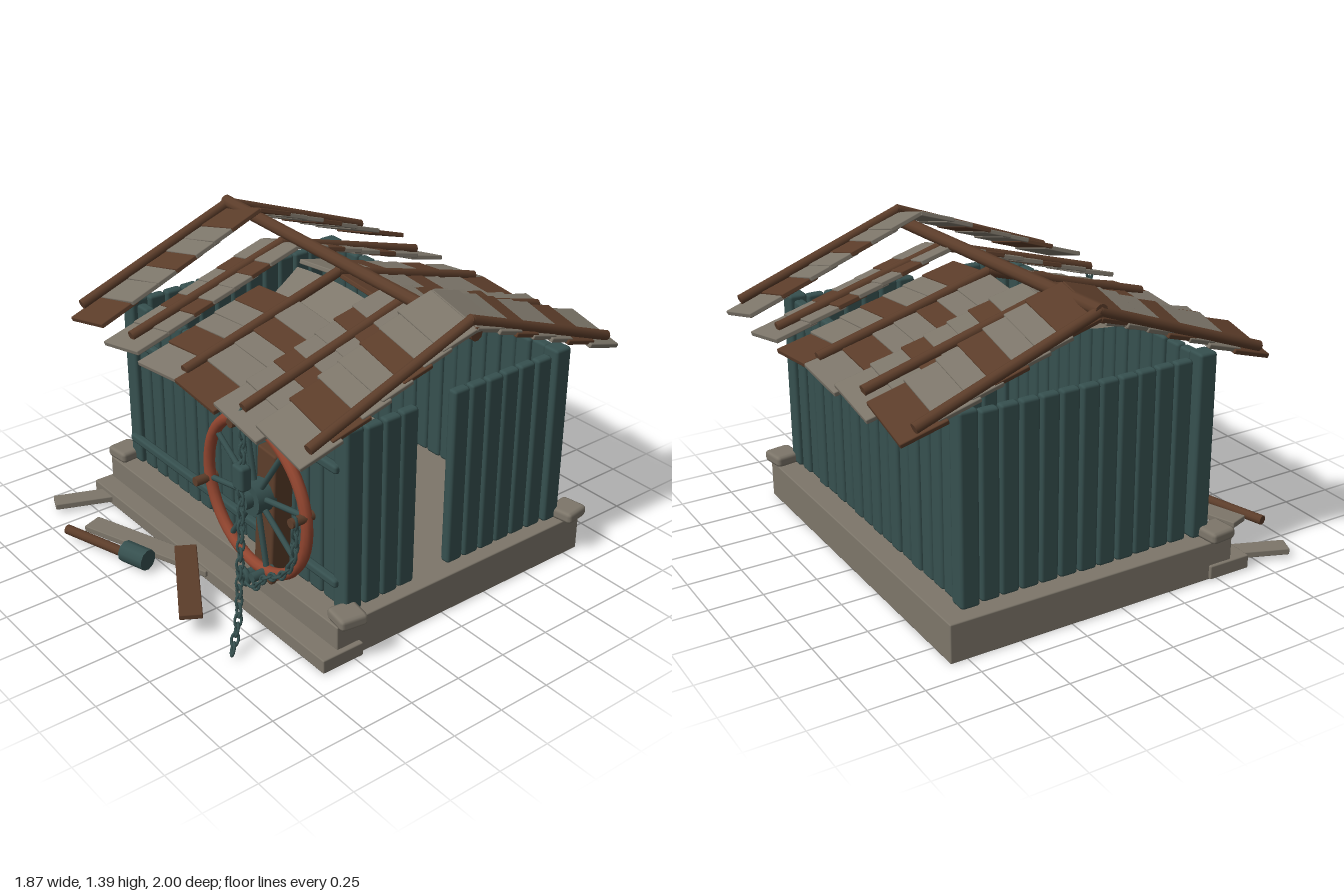
import * as THREE from 'three';
import { RoundedBoxGeometry } from 'three/addons/geometries/RoundedBoxGeometry.js';

const V = (x, y, z) => new THREE.Vector3(x, y, z);

export function createModel() {
  const model = new THREE.Group();
  const mat = (name, color) => {
    const m = new THREE.MeshStandardMaterial({ color });
    m.name = name;
    return m;
  };
  const teal = mat('paintedTeal', 0x36504f);
  const stone = mat('weatheredGrey', 0x7d766a);
  const brown = mat('darkWood', 0x5c3d2a);
  const red = mat('rustRed', 0x91452f);
  const sheet = stone.clone();
  sheet.name = 'sheetGrey';
  sheet.side = THREE.DoubleSide;

  let seed = 7;
  const rand = (a) => {
    seed = (seed * 16807) % 2147483647;
    return (seed / 2147483647 - 0.5) * 2 * a;
  };
  const group = (name, parent = model) => {
    const g = new THREE.Group();
    g.name = name;
    parent.add(g);
    return g;
  };
  const add = (name, geo, material, x, y, z, parent = model) => {
    const m = new THREE.Mesh(geo, material);
    m.name = name;
    m.position.set(x, y, z);
    parent.add(m);
    return m;
  };
  const block = (name, w, h, d, material, x, y, z, parent, r = 0.01) =>
    add(name, new RoundedBoxGeometry(w, h, d, 1, Math.min(r, w / 3, h / 3, d / 3)), material, x, y, z, parent);
  // Round bar between two points
  const bar = (name, a, b, r, material, parent, sides = 10) => {
    const m = add(name, new THREE.CylinderGeometry(r, r, a.distanceTo(b), sides), material, 0, 0, 0, parent);
    m.position.copy(a).add(b).multiplyScalar(0.5);
    m.quaternion.setFromUnitVectors(V(0, 1, 0), b.clone().sub(a).normalize());
    return m;
  };

  // Foundation, front step and corner stones
  block('foundation', 1.77, 0.18, 1.41, stone, -0.01, 0.09, -0.125, model, 0.006);
  block('frontStep', 1.81, 0.065, 0.21, stone, -0.005, 0.0375, 0.565, model, 0.006);
  for (const [x, z, turn] of [[-0.855, 0.515, 0.1], [0.86, 0.515, -0.15], [0.845, -0.78, 0.15]])
    block('cornerStone', 0.13, 0.055, 0.13, stone, x, 0.205, z, model, 0.018).rotation.y = turn;

  // Plank walls with corner posts; the right wall has a gap
  const walls = group('walls');
  for (const x of [-0.785, 0.785]) for (const z of [0.455, -0.695])
    block('cornerPost', 0.088, 0.86, 0.088, teal, x, 0.61, z, walls, 0.014);
  for (let i = 0; i < 16; i++) for (const z of [0.455, -0.7]) {
    const p = block('wallPlank', 0.087, 0.85 + rand(0.008), 0.05, teal, -0.69 + i * 0.092, 0.6, z + rand(0.004), walls, 0.014);
    p.rotation.z = rand(0.005);
  }
  for (let i = 0; i < 11; i++) for (const x of [-0.79, 0.79]) {
    if (x > 0 && (i === 3 || i === 4)) continue;
    block('sidePlank', 0.05, 0.84, 0.086, teal, x + rand(0.004), 0.6, 0.345 - i * 0.0938, walls, 0.014);
  }
  for (const y of [0.31, 0.85])
    block('frontRail', 1.58, 0.04, 0.04, teal, -0.01, y, 0.5, walls, 0.013);

  // Sagging roof: six columns of overlapping shingles on each slope
  const roof = group('roof');
  const ridgeZ = -0.125;
  const rows = [0.875, 0.715, 0.575, 0.475, 0.365, 0.265, 0.165, 0.015];
  // For each column pair, outermost first: ridge outer/inner and eave outer/inner heights
  const heights = [[1.3, 1.385, 0.965, 1.025], [1.225, 1.295, 0.955, 1.0], [1.22, 1.25, 0.965, 0.99]];
  for (let c = 0; c < 6; c++) {
    const right = c > 2;
    const [ro, ri, eo, ei] = heights[right ? 5 - c : c];
    const ridge = (ro + ri) / 2, eave = (eo + ei) / 2;
    const slope = Math.atan((ridge - eave) / 0.875);
    const roll = Math.atan((ri - ro + ei - eo) / 2 / 0.29) * (right ? -1 : 1);
    for (const side of [1, -1]) for (let r = 0; r < 7; r++) {
      if (side > 0 && (c === 2 || c === 3) && r > 4) continue;
      const far = rows[r], near = Math.max(rows[r + 1] - 0.035, 0);
      const mid = (far + near) / 2;
      const y = ridge - (ridge - eave) * mid / 0.875 + 0.008;
      const m = block('shingle', 0.292 + rand(0.004), 0.022, (far - near) / Math.cos(slope),
        (r + c) % 3 === 0 ? brown : stone, -0.725 + c * 0.29, y, ridgeZ + side * mid, roof, 0.005);
      m.rotation.set(side * (slope - 0.06), rand(0.012), roll + rand(0.012), 'ZXY');
    }
  }

  // Drooping sheet under the damaged front slope
  const droop = new THREE.PlaneGeometry(0.58, 0.46, 8, 10).rotateX(-Math.PI / 2);
  const dp = droop.attributes.position;
  for (let i = 0; i < dp.count; i++) {
    const t = dp.getZ(i) / 0.46 + 0.5, u = dp.getX(i) / 0.29;
    dp.setY(i, 1.22 - 0.19 * t - 0.05 * Math.sin(Math.PI * t) - 0.02 * u * u);
  }
  droop.computeVertexNormals();
  add('droopingSheet', droop, sheet, 0, 0, 0.12, roof);

  // Ridge pole and rafters lying over the shingles
  bar('ridgePole', V(-0.87, 1.345, ridgeZ), V(0.87, 1.29, ridgeZ), 0.03, brown, roof);
  for (const [x, peak] of [[-0.855, 1.345], [-0.43, 1.275], [-0.01, 1.27], [0.41, 1.275], [0.835, 1.345]])
    for (const s of [1, -1])
      bar('rafter', V(x, 1.035, ridgeZ + s * 0.82), V(x, peak, ridgeZ - s * 0.01), 0.023, brown, roof);

  // Wheel on its backing board
  const board = block('wheelBoard', 0.125, 0.65, 0.1, brown, 0.415, 0.495, 0.555);
  board.rotation.z = -0.07;
  const wheel = group('wheel');
  wheel.position.set(0.412, 0.608, 0.64);
  add('rim', new THREE.TorusGeometry(0.343, 0.026, 10, 48), red, 0, 0, 0, wheel);
  for (let i = 0; i < 8; i++) {
    const a = 0.19 + i * Math.PI / 4, x = Math.cos(a), y = Math.sin(a);
    bar('spoke', V(x * 0.04, y * 0.04, 0), V(x * 0.34, y * 0.34, 0), 0.013, teal, wheel, 8);
    if (i % 2 === 0)
      bar('rimPeg', V(x * 0.345, y * 0.345, -0.03), V(x * 0.345, y * 0.345, 0.08), 0.021, i === 6 ? teal : brown, wheel);
  }
  bar('hub', V(0, 0, -0.05), V(0, 0, 0.04), 0.075, teal, wheel, 16);
  bar('hubCap', V(0, 0, 0.04), V(0, 0, 0.075), 0.04, teal, wheel, 12);
  add('lowerRing', new THREE.TorusGeometry(0.034, 0.014, 8, 12), teal, 0.39, 0.225, 0.7);
  bar('lowerPin', V(0.39, 0.225, 0.62), V(0.39, 0.225, 0.72), 0.022, teal, model, 8);

  // Chains made of alternating oval links
  const link = new THREE.TorusGeometry(0.016, 0.0065, 6, 10).scale(0.95, 1.6, 1);
  const chain = (name, points) => {
    const g = group(name);
    const curve = new THREE.CatmullRomCurve3(points.map((p) => V(...p)));
    const n = Math.round(curve.getLength() / 0.04);
    for (let i = 0; i <= n; i++) {
      const m = add('link', link, teal, 0, 0, 0, g);
      m.position.copy(curve.getPointAt(i / n));
      m.quaternion.setFromUnitVectors(V(0, 1, 0), curve.getTangentAt(i / n).setY(curve.getTangentAt(i / n).y + 1e-4).normalize());
      m.rotateY(i % 2 ? Math.PI / 2 : 0.15);
    }
  };
  chain('upperChain', [[0.4, 1.0, 0.69], [0.41, 0.9, 0.7], [0.425, 0.78, 0.715]]);
  block('chainWeight', 0.075, 0.115, 0.055, teal, 0.425, 0.735, 0.72, model, 0.015);
  chain('hangingChain', [[0.43, 0.68, 0.73], [0.46, 0.5, 0.755], [0.49, 0.3, 0.79], [0.53, 0.13, 0.83], [0.575, 0.04, 0.89]]);
  chain('rimChain', [[0.755, 0.67, 0.7], [0.745, 0.5, 0.7], [0.67, 0.38, 0.7], [0.55, 0.3, 0.7], [0.47, 0.215, 0.7], [0.4, 0.22, 0.7]]);

  // Loose boards and mallet in front
  block('looseBrownBoard', 0.535, 0.025, 0.1, brown, 0.125, 0.1, 0.81, model, 0.005).rotation.y = -0.54;
  block('looseGreyBoard', 0.7, 0.03, 0.1, stone, -0.28, 0.045, 0.75, model, 0.005).rotation.y = 0.34;
  block('shortGreyBoard', 0.09, 0.03, 0.29, stone, -0.84, 0.035, 0.77, model, 0.005).rotation.y = -0.38;
  const mallet = group('mallet');
  bar('malletHandle', V(-0.645, 0.04, 0.975), V(-0.28, 0.045, 0.865), 0.023, brown, mallet);
  bar('malletHead', V(-0.3, 0.06, 0.872), V(-0.17, 0.06, 0.832), 0.05, teal, mallet, 10);
  return model;
}
